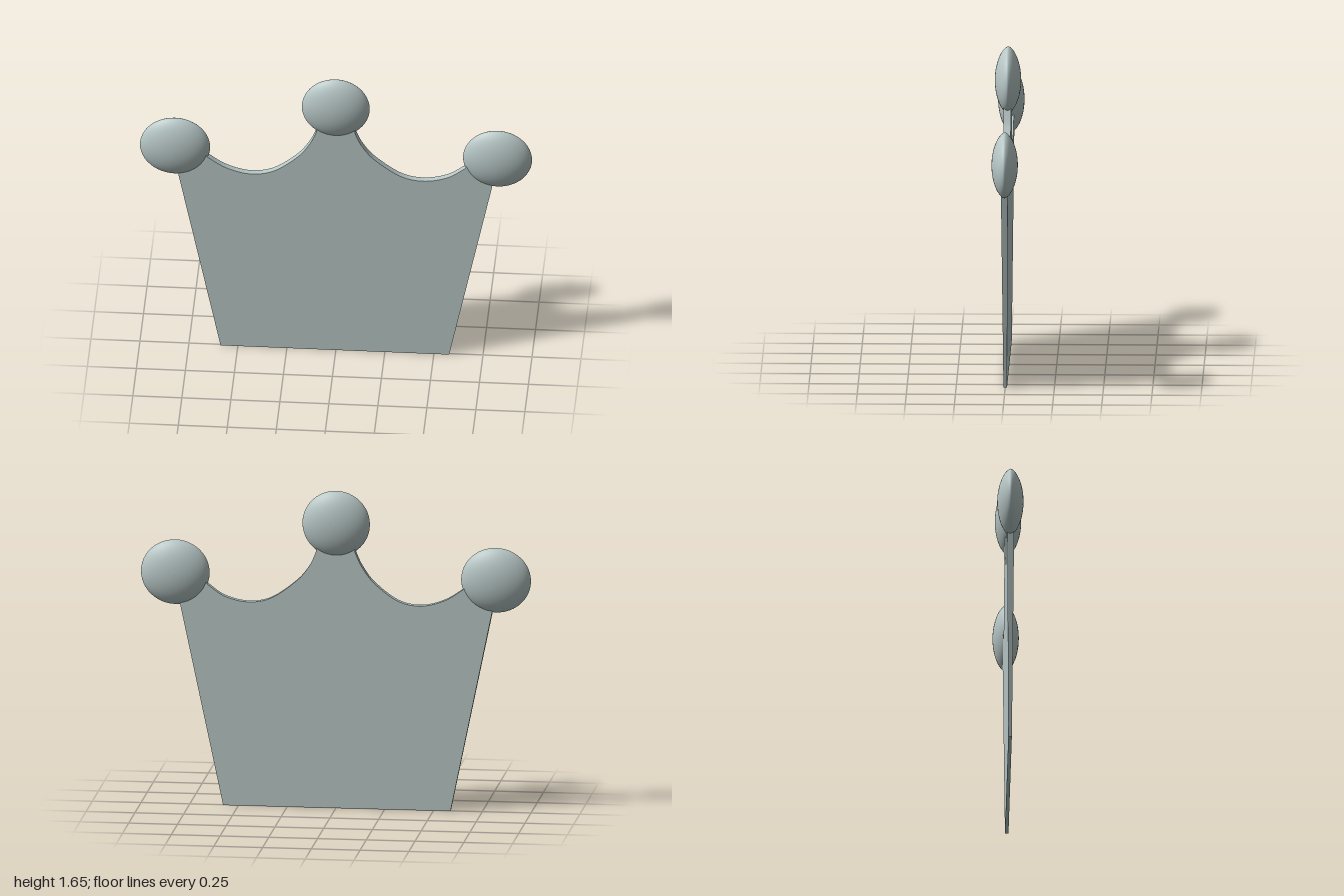
import * as THREE from 'three';
import { toCreasedNormals } from 'three/addons/utils/BufferGeometryUtils.js';

const pts = (list) => list.map(([x, y]) => new THREE.Vector2(x, y));

export function createModel() {
  const crown = new THREE.Group();
  crown.name = 'crown';
  const paleGrey = new THREE.MeshStandardMaterial({ color: 0xb7c7c6 });
  paleGrey.name = 'paleGrey';

  // Flat crown plate: flared sides, two scallops, tips reaching into the knobs
  const outline = new THREE.Shape();
  outline.moveTo(-0.588, 0);
  outline.lineTo(0.578, 0);
  outline.lineTo(0.797, 1.04);
  outline.lineTo(0.82, 1.2);
  outline.lineTo(0.7, 1.19);
  outline.lineTo(0.655, 1.147);
  outline.splineThru(pts([[0.57, 1.09], [0.45, 1.063], [0.33, 1.087], [0.2, 1.18], [0.135, 1.26], [0.1, 1.335]]));
  outline.lineTo(0.09, 1.42);
  outline.lineTo(-0.09, 1.42);
  outline.lineTo(-0.1, 1.335);
  outline.splineThru(pts([[-0.135, 1.26], [-0.2, 1.175], [-0.32, 1.087], [-0.44, 1.065], [-0.56, 1.097], [-0.655, 1.158]]));
  outline.lineTo(-0.7, 1.19);
  outline.lineTo(-0.82, 1.2);
  outline.lineTo(-0.802, 1.04);

  let plateGeometry = new THREE.ExtrudeGeometry(outline, { depth: 2, bevelEnabled: false, curveSegments: 36 });
  plateGeometry.translate(0, 0, -1);
  // Thicken the plate evenly from the foot to the tips
  const p = plateGeometry.attributes.position;
  for (let i = 0; i < p.count; i++) p.setZ(i, p.getZ(i) * (0.009 + 0.008 * p.getY(i)));
  plateGeometry = toCreasedNormals(plateGeometry, 0.6);
  const plate = new THREE.Mesh(plateGeometry, paleGrey);
  plate.name = 'crownPlate';
  crown.add(plate);

  // Lens-shaped knobs on the three points
  const profile = [];
  const steps = 28;
  for (let i = 0; i <= steps; i++) {
    const a = -Math.PI / 2 + (Math.PI * i) / steps;
    const c = Math.max(0, Math.cos(a));
    profile.push(new THREE.Vector2(c, Math.sign(a) * Math.pow(Math.abs(Math.sin(a)), 1.25)));
  }
  const knobGeometry = new THREE.LatheGeometry(profile, 48);
  knobGeometry.rotateX(Math.PI / 2);
  const knobs = [
    ['rightKnob', -0.821, 1.207, 0.179, 0.168],
    ['middleKnob', -0.001, 1.479, 0.173, 0.171],
    ['leftKnob', 0.824, 1.207, 0.176, 0.168],
  ];
  for (const [name, x, y, rx, ry] of knobs) {
    const knob = new THREE.Mesh(knobGeometry, paleGrey);
    knob.name = name;
    knob.position.set(x, y, -0.002);
    knob.scale.set(rx, ry, 0.067);
    crown.add(knob);
  }
  return crown;
}
